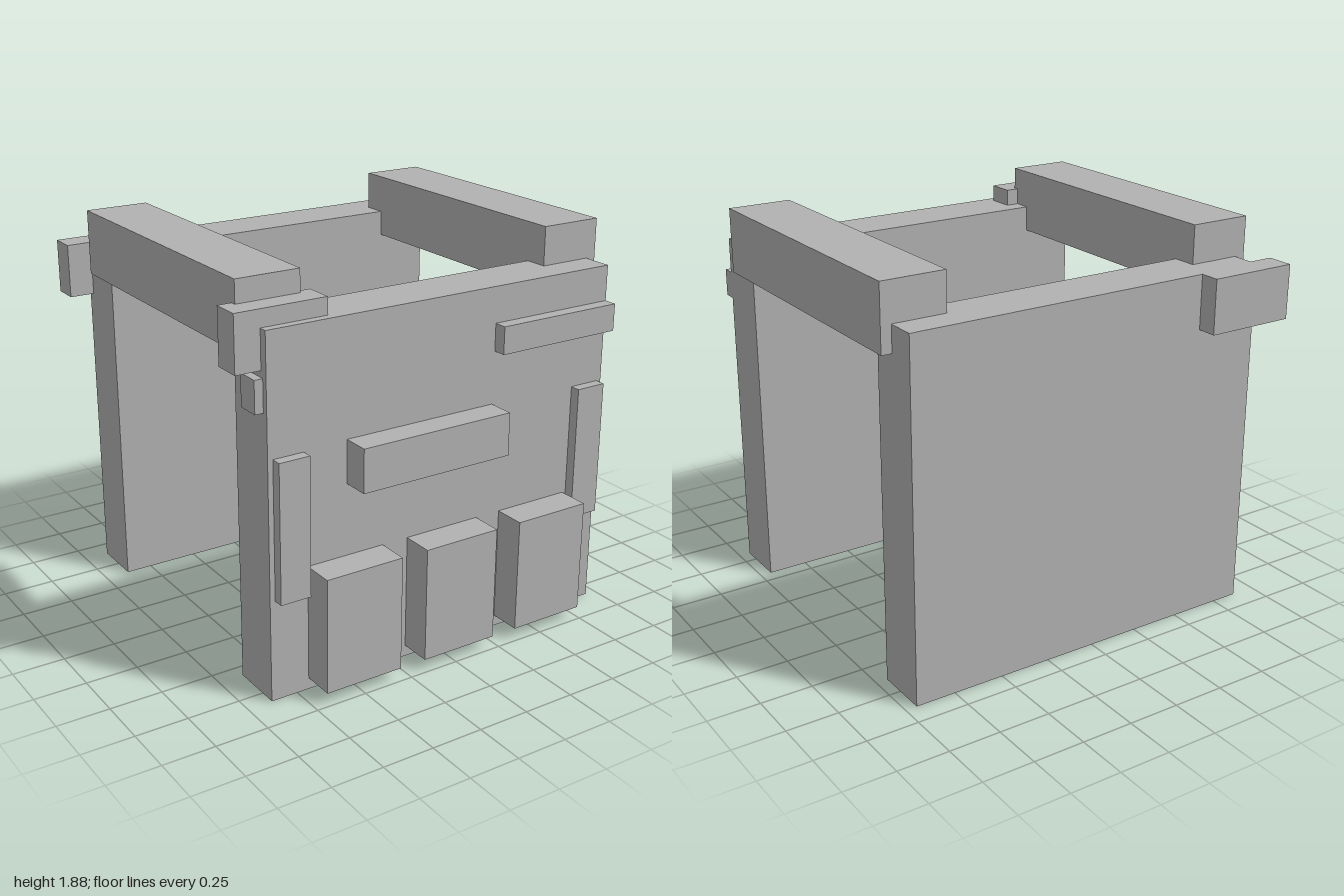
import * as THREE from 'three';

export function createModel() {
  const model = new THREE.Group();
  model.name = 'vest';
  const grey = new THREE.MeshStandardMaterial({ color: 0xb2b2b2 });
  grey.name = 'grey';

  // Box given by its limits along each axis
  function block(name, [x0, x1], [y0, y1], [z0, z1]) {
    const mesh = new THREE.Mesh(new THREE.BoxGeometry(x1 - x0, y1 - y0, z1 - z0), grey);
    mesh.position.set((x0 + x1) / 2, (y0 + y1) / 2, (z0 + z1) / 2);
    mesh.name = name;
    model.add(mesh);
  }

  // Front and back panels
  const width = [-0.88, 0.945];
  block('frontPanel', width, [0, 1.7], [0.57, 0.83]);
  block('backPanel', width, [0, 1.7], [-0.893, -0.633]);

  // Shoulder straps
  block('rightShoulderStrap', [-0.933, -0.625], [1.575, 1.885], [-0.752, 0.683]);
  block('leftShoulderStrap', [0.685, 0.995], [1.575, 1.885], [-0.752, 0.683]);

  // Row of pouches along the bottom of the front
  for (let i = 0; i < 3; i++) {
    const x = -0.69 + i * 0.523;
    block('pouch' + (i + 1), [x, x + 0.39], [0.055, 0.605], [0.82, 0.985]);
  }

  // Chest pieces
  block('chestPocket', [-0.49, 0.29], [0.945, 1.15], [0.82, 0.96]);
  block('chestStrip', [0.295, 0.945], [1.4, 1.53], [0.82, 0.893]);
  block('rightSideStrip', [-0.855, -0.705], [0.485, 1.14], [0.82, 0.88]);
  block('leftSideStrip', [0.765, 0.92], [0.485, 1.14], [0.82, 0.88]);

  // Buckles at the right shoulder
  block('frontShoulderBuckle', [-1, -0.56], [1.52, 1.78], [0.655, 0.79]);
  block('backShoulderBuckle', [-1, -0.56], [1.44, 1.7], [-0.988, -0.858]);
  block('shoulderTab', [-0.92, -0.6], [1.34, 1.49], [0.69, 0.803]);

  return model;
}
